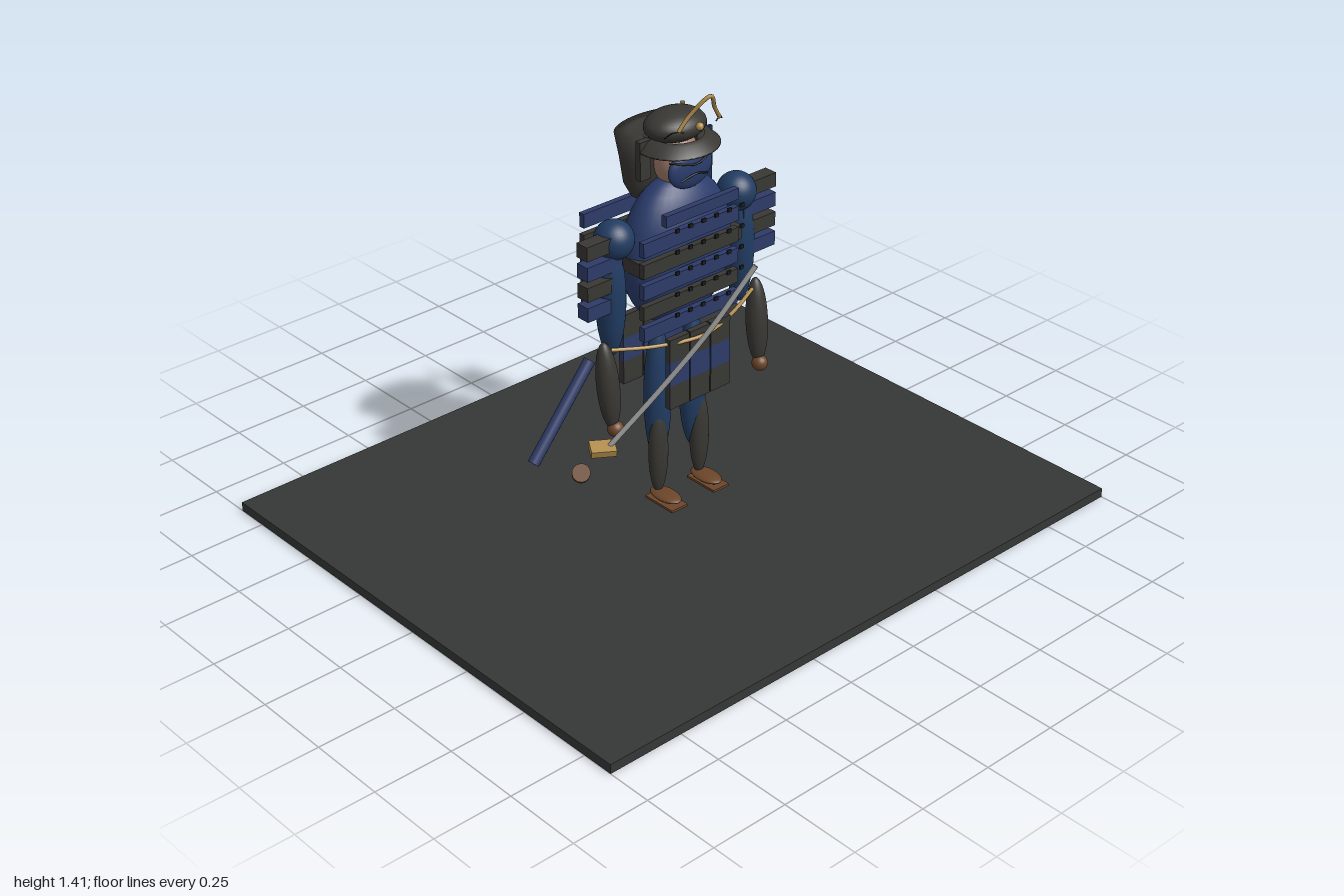
import * as THREE from 'three';

const COLORS = {
  base: 0x353736, torso: 0x2a3c6c, slat: 0x2e3b68, limb: 0x213c62, dark: 0x383733,
  gold: 0xb08c4c, brown: 0x6b4529, skin: 0xa07a68, steel: 0x9a9a9a, flag: 0x1d3250, black: 0x1c1c1c,
};
const mats = {};
for (const k in COLORS) mats[k] = new THREE.MeshStandardMaterial({ color: COLORS[k], side: THREE.DoubleSide });

export function createModel() {
  const model = new THREE.Group();
  model.name = 'armouredWarrior';
  const V = (p) => new THREE.Vector3(...p);

  function add(name, geometry, color, pos = [0, 0, 0]) {
    const mesh = new THREE.Mesh(geometry, mats[color]);
    mesh.name = name;
    mesh.position.set(...pos);
    model.add(mesh);
    return mesh;
  }
  const box = (name, color, size, pos) => add(name, new THREE.BoxGeometry(...size), color, pos);
  function ball(name, color, radii, pos) {
    const mesh = add(name, new THREE.SphereGeometry(1, 32, 20), color, pos);
    mesh.scale.set(...radii);
    return mesh;
  }
  const tube = (name, color, r, pts) =>
    add(name, new THREE.TubeGeometry(new THREE.CatmullRomCurve3(pts.map(V)), 24, r, 8), color);
  function rod(name, color, r, a, b) {
    const dir = V(b).sub(V(a));
    const mesh = add(name, new THREE.CylinderGeometry(r, r, dir.length(), 16), color);
    mesh.position.copy(V(a).add(V(b)).multiplyScalar(0.5));
    mesh.quaternion.setFromUnitVectors(new THREE.Vector3(0, 1, 0), dir.normalize());
    return mesh;
  }

  // Ground slab
  box('base', 'base', [2, 0.03, 1.71], [0, 0.015, 0]);

  // Body and head
  ball('torso', 'torso', [0.195, 0.24, 0.11], [0, 0.89, 0.01]);
  ball('head', 'skin', [0.07, 0.09, 0.065], [0, 1.17, 0.01]);
  ball('faceMask', 'torso', [0.082, 0.062, 0.024], [0, 1.16, 0.068]);
  tube('maskMouth', 'black', 0.003, [[-0.05, 1.135, 0.085], [0, 1.15, 0.095], [0.05, 1.135, 0.085]]);
  tube('maskBrow', 'black', 0.003, [[-0.085, 1.2, 0.075], [0, 1.18, 0.095], [0.085, 1.2, 0.075]]);

  // Helmet: dome, brim, hanging rear bowl and crest
  ball('helmetDome', 'dark', [0.1, 0.047, 0.078], [0, 1.275, 0.004]);
  const brim = add('helmetBrim', new THREE.LatheGeometry(
    [[0.08, 1.25], [0.1, 1.247], [0.128, 1.222], [0.128, 1.217], [0.06, 1.232]].map((p) => new THREE.Vector2(...p)), 40), 'dark', [0, 0, 0.015]);
  brim.scale.z = 0.92;
  const guard = add('neckGuard', new THREE.LatheGeometry(
    [[0, 1.015], [0.05, 1.02], [0.09, 1.045], [0.115, 1.09], [0.128, 1.17], [0.145, 1.25], [0.1, 1.245], [0, 1.24]]
      .map((p) => new THREE.Vector2(...p)), 40), 'dark', [0, 0, -0.075]);
  guard.scale.z = 0.56;

  tube('crest', 'gold', 0.006, [[-0.078, 1.305, 0.105], [-0.05, 1.345, 0.115], [0, 1.405, 0.148], [0.05, 1.345, 0.115], [0.078, 1.305, 0.105]]);
  ball('crestStud', 'gold', [0.012, 0.012, 0.012], [0, 1.3, 0.108]);

  // Chest and back lamellar rows, with lacing studs in front
  box('collarRow', 'slat', [0.28, 0.035, 0.02], [-0.02, 1.066, 0.135]);
  for (let i = 0; i < 5; i++) {
    const y = 1.002 - i * 0.067, color = i % 2 ? 'dark' : 'slat';
    box('chestRow', color, [0.365, 0.045, 0.02], [-0.06, y, 0.132]);
    box('backRow', color, [0.365, 0.045, 0.02], [-0.06, y, -0.125]);
    for (let j = 0; j < 6; j++)
      box('lacing', 'black', [0.014, 0.012, 0.006], [-0.125 + j * 0.05, y + 0.03, 0.153]);
  }

  // Skirt panels, front and back
  for (const z of [0.105, -0.1])
    for (let c = -1; c <= 1; c++)
      for (let r = 0; r < 3; r++)
        box('skirtPlate', r % 2 ? 'slat' : 'dark', [0.077, 0.077, 0.02], [c * 0.081, 0.622 - r * 0.077, z]);

  // Waist cord
  tube('waistCord', 'gold', 0.006, [[-0.28, 0.66, 0.04], [-0.15, 0.645, 0.09], [0, 0.64, 0.125], [0.15, 0.645, 0.09], [0.28, 0.66, 0.04]]);

  // Mirrored limbs and shoulder armour
  for (const s of [-1, 1]) {
    box('helmetSidePlate', 'dark', [0.04, 0.12, 0.02], [s * 0.108, 1.19, -0.01]);
    tube('helmetCord', 'black', 0.002, [[s * 0.06, 1.3, 0.11], [s * 0.09, 1.302, 0.095], [s * 0.11, 1.285, 0.08]]);
    ball('shoulder', 'limb', [0.06, 0.06, 0.06], [s * 0.238, 0.99, 0.01]);
    ball('upperArm', 'limb', [0.045, 0.19, 0.045], [s * 0.253, 0.81, 0.01]);
    const fore = ball('forearm', 'dark', [0.035, 0.14, 0.033], [s * 0.297, 0.55, 0.045]);
    fore.rotation.set(-0.1, 0, s * -0.03);
    ball('hand', 'brown', [0.025, 0.025, 0.025], [s * 0.29, 0.415, 0.068]);
    for (let i = 0; i < 4; i++)
      box('shoulderPlate', i % 2 ? 'slat' : 'dark', [0.13, 0.045, 0.045], [s * 0.302, 0.997 - i * 0.064, 0.022]);
    box('sidePlate', 'dark', [0.03, 0.045, 0.14], [s * 0.18, 0.895, 0.01]);
    ball('thigh', 'limb', [0.046, 0.23, 0.037], [s * 0.07, 0.42, 0.005]);
    ball('shin', 'dark', [0.033, 0.145, 0.026], [s * 0.083, 0.235, 0.022]);
    ball('foot', 'brown', [0.034, 0.012, 0.06], [s * 0.083, 0.094, 0.055]);
    box('sandal', 'brown', [0.062, 0.008, 0.12], [s * 0.085, 0.076, 0.06]);
  }

  // Sword held by the right hand
  const blade = tube('swordBlade', 'steel', 0.008, [[0.035, 0.925, 0.305], [-0.09, 0.74, 0.25], [-0.21, 0.575, 0.185], [-0.36, 0.4, 0.115]]);
  blade.geometry.computeBoundingSphere();
  const tsuba = box('swordGuard', 'gold', [0.075, 0.022, 0.05], [-0.375, 0.4, 0.108]);
  tsuba.rotation.set(0.3, -0.5, 0.1);
  rod('swordGrip', 'brown', 0.027, [-0.475, 0.37, 0.13], [-0.393, 0.285, 0.03]);

  // Scabbard on the back of the right hip
  rod('scabbard', 'slat', 0.018, [-0.485, 0.31, -0.075], [-0.25, 0.56, -0.092]);

  // Back banner
  rod('bannerPole', 'gold', 0.007, [0.165, 0.55, -0.112], [0.175, 1.24, -0.155]);
  rod('bannerCrossbar', 'gold', 0.006, [0.12, 1.16, -0.152], [0.245, 1.16, -0.152]);
  box('banner', 'flag', [0.105, 0.215, 0.012], [0.228, 1.03, -0.145]);
  const disc = add('bannerDisc', new THREE.CylinderGeometry(0.025, 0.025, 0.02, 24), 'gold', [0.222, 1.055, -0.145]);
  disc.rotation.x = Math.PI / 2;

  return model;
}
